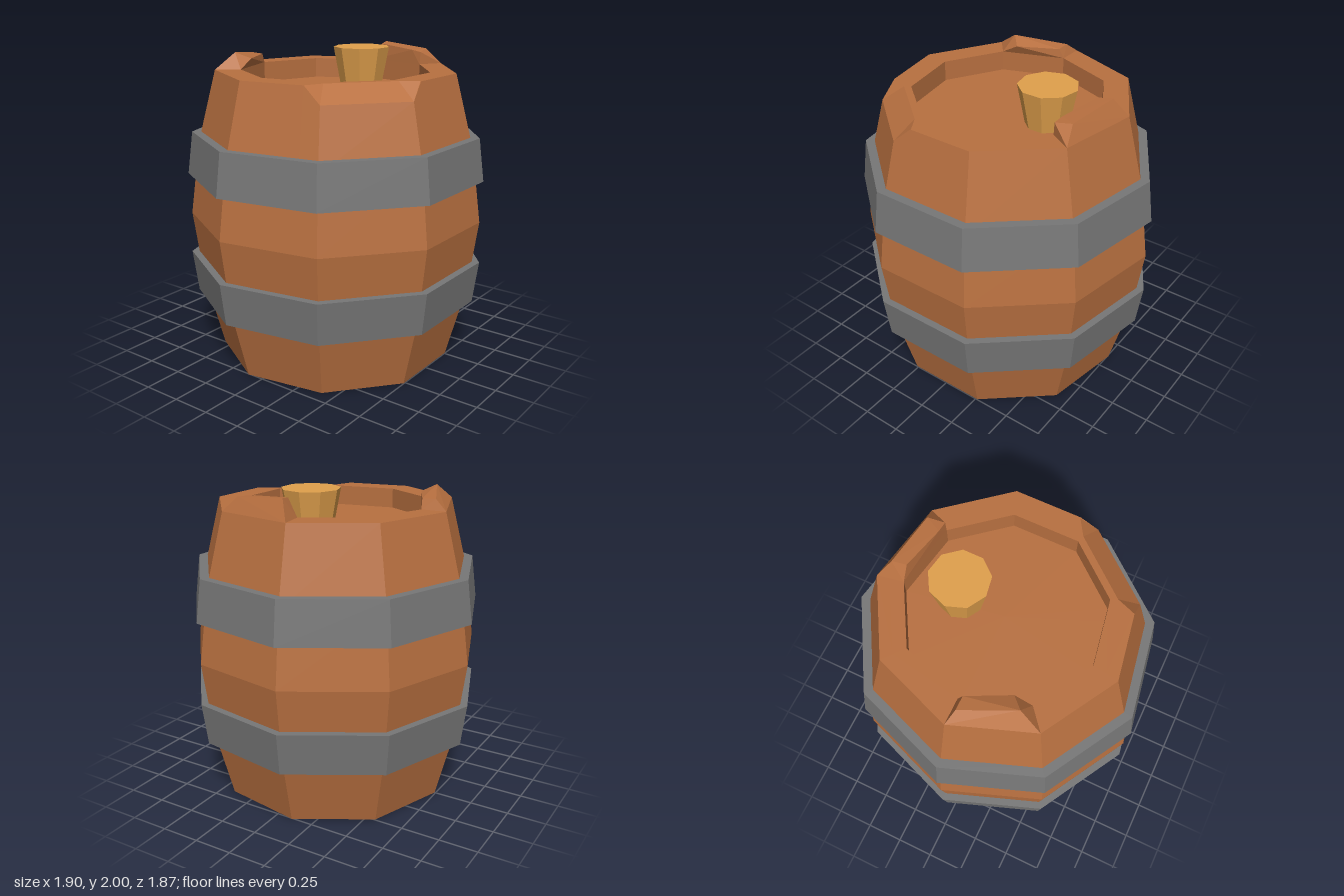
import * as THREE from 'three';
import { ConvexGeometry } from 'three/addons/geometries/ConvexGeometry.js';

const SIDES = 9, CZ = 0.025;
const mat = (color) => new THREE.MeshStandardMaterial({ color, flatShading: true });

// Point on a nine-sided ring; u counts corners from the back, fractions lie on the edge between.
function ringPoint(r, y, u, cx = 0, cz = CZ) {
  const corner = (k) => {
    const a = (k * 2 * Math.PI) / SIDES;
    return new THREE.Vector3(cx + r * Math.sin(a), y, cz - r * Math.cos(a));
  };
  const k = Math.floor(u);
  return corner(k).lerp(corner(k + 1), u - k);
}

// Joins rings of equal length into a flat-faced skin.
function skin(rings) {
  const pos = [];
  const tri = (...pts) => pts.forEach((p) => pos.push(p.x, p.y, p.z));
  for (let i = 0; i < rings.length - 1; i++) {
    const lo = rings[i], hi = rings[i + 1], n = lo.length;
    for (let k = 0; k < n; k++) {
      const j = (k + 1) % n;
      if (lo[j].distanceTo(lo[k]) > 1e-6) tri(lo[j], lo[k], hi[k]);
      if (hi[j].distanceTo(hi[k]) > 1e-6) tri(lo[j], hi[k], hi[j]);
    }
  }
  const g = new THREE.BufferGeometry();
  g.setAttribute('position', new THREE.Float32BufferAttribute(pos, 3));
  g.computeVertexNormals();
  return g;
}

// Sweeps a [radius, y] profile around nine sides.
function nonagon(profile, cx = 0, cz = CZ) {
  const us = [...Array(SIDES).keys()];
  return skin(profile.map(([r, y]) => us.map((u) => ringPoint(r, y, u, cx, cz))));
}

export function createModel() {
  const group = new THREE.Group();
  const wood = mat(0xb87040), iron = mat(0x777777), corkMat = mat(0xe0a04c);
  const add = (name, geometry, material) => {
    const mesh = new THREE.Mesh(geometry, material);
    mesh.name = name;
    group.add(mesh);
  };

  // Barrel body with recessed ends; two rim corners are worn down to a chamfer
  const profile = [
    [0, 0.15], [0.605, 0.15], [0.605, 0], [0.768, 0], [0.89, 0.47], [0.953, 0.94],
    [0.89, 1.41], [0.768, 1.88], [0.69, 1.88], [0.605, 1.88], [0.605, 1.75], [0, 1.75],
  ];
  const OUTER = 7, RIDGE = 8;
  const us = [0, 1, 2, 3, 4, 4.8, 5, 6, 6.2, 7, 8];
  const rings = profile.map(([r, y], i) => us.map((u) => {
    const worn = u === 5 || u === 6, end = u === 4.8 || u === 6.2;
    if (i === OUTER && worn) return ringPoint(0.794, 1.78, u);
    if (i === RIDGE && worn) return ringPoint(0.65, 1.88, u);
    if (i === RIDGE && end) return ringPoint(0.762, 1.88, u);
    return ringPoint(r, y, u);
  }));
  add('barrelBody', skin(rings), wood);

  // Raised, splintered stave ends on the rim
  const stave = (name, u, tops) => {
    const base = [[0.768, u], [0.768, u + 1], [0.605, u], [0.605, u + 1]]
      .map(([r, v]) => ringPoint(r, 1.88, v));
    add(name, new ConvexGeometry([...base, ...tops.map((p) => new THREE.Vector3(...p))]), wood);
  };
  stave('backStaveEnd', 8, [
    [-0.35, 1.98, -0.52], [-0.03, 1.945, -0.66], [-0.28, 1.94, -0.445], [-0.03, 1.94, -0.57],
  ]);
  stave('leftStaveEnd', 2, [
    [0.68, 2, -0.04], [0.635, 1.975, 0.31], [0.595, 1.99, -0.02], [0.535, 1.97, 0.26], [0.53, 1.96, 0.33],
  ]);

  // Iron hoops, mirrored about the belly
  const hoop = [[0.86, 0.395], [0.929, 0.395], [0.965, 0.67], [0.86, 0.67]];
  add('lowerHoop', nonagon(hoop), iron);
  add('upperHoop', nonagon(hoop.map(([r, y]) => [r, 1.88 - y]).reverse()), iron);

  // Tapered cork in the lid
  add('cork', nonagon([[0, 1.74], [0.135, 1.74], [0.185, 2], [0, 2]], 0.283), corkMat);

  // Small tapered plug under the base
  add('basePlug', nonagon([[0, 0.04], [0.18, 0.04], [0.12, 0.16], [0, 0.16]], 0.02, -0.31), wood);

  return group;
}
